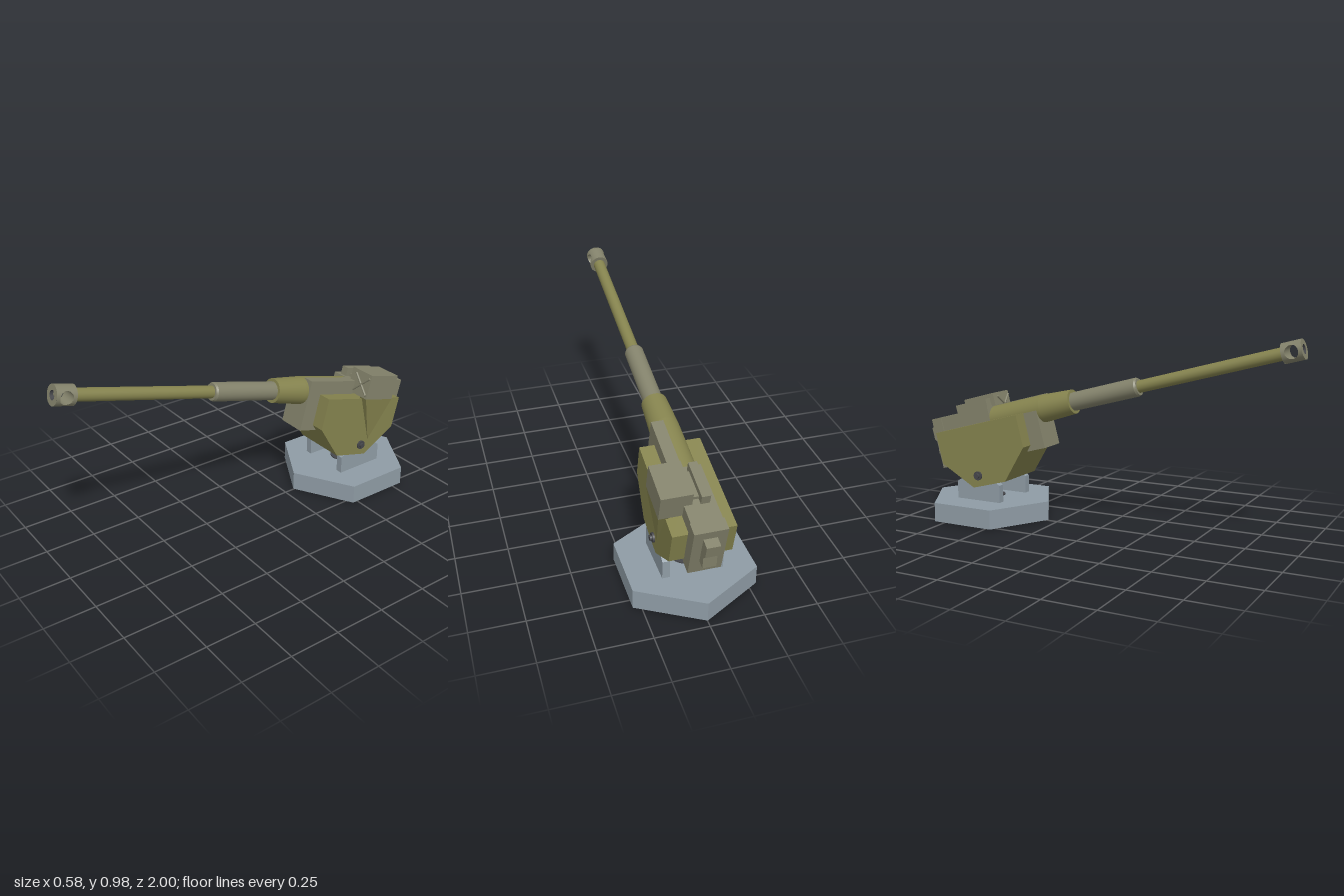
import * as THREE from 'three';
import { ParametricGeometry } from 'three/addons/geometries/ParametricGeometry.js';
import { ConvexGeometry } from 'three/addons/geometries/ConvexGeometry.js';

const mat = (color, flatShading = false) =>
  new THREE.MeshStandardMaterial({ color, flatShading, side: THREE.DoubleSide });
const olive = mat(0x85834e), khaki = mat(0x83826b), steel = mat(0x8f9ca5), dark = mat(0x45464a);
const oliveFlat = mat(0x85834e, true), steelFlat = mat(0x8f9ca5, true);

const TILT = 0.262, AXIS = 0.258; // gun elevation and bore height above the pivot
const PIVOT = [0, 0.23, -0.63];

function add(parent, name, geometry, material, x = 0, y = 0, z = 0) {
  const mesh = new THREE.Mesh(geometry, material);
  mesh.name = name;
  mesh.position.set(x, y, z);
  parent.add(mesh);
  return mesh;
}

// Box given by its limits on each axis
function box(parent, name, material, [x0, x1], [y0, y1], [z0, z1]) {
  return add(parent, name, new THREE.BoxGeometry(x1 - x0, y1 - y0, z1 - z0), material,
    (x0 + x1) / 2, (y0 + y1) / 2, (z0 + z1) / 2);
}

// Side profile of [z, y] points, given a width along x
function sidePlate(points, width) {
  const shape = new THREE.Shape(points.map(([z, y]) => new THREE.Vector2(z, y)));
  return new THREE.ExtrudeGeometry(shape, { depth: width, bevelEnabled: false })
    .translate(0, 0, -width / 2).rotateY(-Math.PI / 2);
}

// Turned part along z; each [radius, z] segment keeps its own normals for crisp edges
function turned(parent, name, material, profile) {
  const group = new THREE.Group();
  group.name = name;
  for (let i = 1; i < profile.length; i++) {
    const pts = [profile[i - 1], profile[i]].map(([r, z]) => new THREE.Vector2(r, z));
    add(group, name + 'Surface', new THREE.LatheGeometry(pts, 32).rotateX(Math.PI / 2), material, 0, AXIS, 0);
  }
  parent.add(group);
}

// Muzzle brake: a cylinder along z with a round port drilled through along x
function muzzleBrake(parent) {
  const group = new THREE.Group();
  group.name = 'muzzleBrake';
  group.position.set(0, AXIS, 1.7);
  const R = 0.047, H = 0.047, port = 0.031, bore = 0.022;
  const side = (y) => Math.sqrt(Math.max(0, R * R - y * y));
  for (const s of [-1, 1]) {
    add(group, 'brakeShell', new ParametricGeometry((a, t, p) => {
      const c = Math.cos(a * Math.PI * 2), d = Math.sin(a * Math.PI * 2);
      const k = 1 / Math.max(Math.abs(c), Math.abs(d));
      const y = d * (port + (R * k - port) * t), z = c * (port + (H * k - port) * t);
      p.set(s * side(y), y, z);
    }, 64, 12), khaki);
  }
  add(group, 'portWall', new ParametricGeometry((a, t, p) => {
    const y = port * Math.sin(a * Math.PI * 2);
    p.set((2 * t - 1) * side(y), y, port * Math.cos(a * Math.PI * 2));
  }, 48, 4), khaki);
  add(group, 'muzzleFace', new THREE.RingGeometry(bore, R, 40), khaki, 0, 0, H);
  add(group, 'brakeBack', new THREE.CircleGeometry(R, 40), khaki, 0, 0, -H);
  add(group, 'bore', new THREE.CylinderGeometry(bore, bore, 0.02, 24, 1, true).rotateX(Math.PI / 2),
    dark, 0, 0, H - 0.01);
  parent.add(group);
}

export function createModel() {
  const model = new THREE.Group();
  model.name = 'gunTurret';

  // Six-sided base with centre cap
  add(model, 'base', new THREE.CylinderGeometry(0.333, 0.333, 0.097, 6), steelFlat, 0, 0.0515, -0.635);
  add(model, 'centreCap', new THREE.CylinderGeometry(0.061, 0.061, 0.106, 24), dark, 0, 0.053, -0.635);

  // Support posts and pivot bolts, mirrored
  const post = [[-0.505, 0], [-0.505, 0.19], [-0.53, 0.205], [-0.735, 0.205], [-0.76, 0.19], [-0.76, 0]];
  for (const s of [-1, 1]) {
    add(model, 'supportPost', sidePlate(post, 0.035), steel, s * 0.1245, 0, 0);
    for (const [r, len] of [[0.023, 0.01], [0.013, 0.02]]) {
      add(model, 'pivotBolt', new THREE.CylinderGeometry(r, r, len, 16).rotateZ(Math.PI / 2), dark,
        s * (0.143 + len / 2), PIVOT[1], PIVOT[2]);
    }
  }

  // Everything on the pivot is built level, then elevated together
  const gun = new THREE.Group();
  gun.name = 'elevatingGun';
  gun.position.set(...PIVOT);
  gun.rotation.x = -TILT;
  model.add(gun);

  const housing = [[0.308, 0.26], [0.306, 0.094], [0.151, -0.056], [-0.046, -0.056], [-0.202, 0.096], [-0.2, 0.26]];
  add(gun, 'housing', sidePlate(housing, 0.286), oliveFlat);

  // Cradle: low on the right beside the mantle, full height at the rear and left
  box(gun, 'cradle', khaki, [-0.073, 0.073], [0.066, 0.258], [-0.2, 0.385]);
  box(gun, 'cradleCheek', khaki, [0.015, 0.073], [0.25, 0.33], [0.09, 0.385]);
  box(gun, 'receiver', khaki, [-0.07, 0.07], [0.2, 0.33], [-0.21, 0.1]);
  box(gun, 'breechBlock', khaki, [-0.075, 0.075], [0.07, 0.334], [-0.26, -0.2]);
  const hatch = [[-0.255, 0.292], [-0.305, 0.29], [-0.306, 0.228], [-0.29, 0.205], [-0.3, 0.147], [-0.255, 0.143]];
  add(gun, 'breechHandle', sidePlate(hatch, 0.062), khaki);

  // Mantle, sleeve and barrel
  turned(gun, 'mantle', olive, [[0, 0.09], [0.07, 0.09], [0.07, 0.4], [0.061, 0.568], [0, 0.568]]);
  turned(gun, 'sleeve', khaki, [[0.046, 0.55], [0.046, 0.925], [0.041, 0.935], [0, 0.935]]);
  turned(gun, 'barrel', olive, [[0.03, 0.92], [0.03, 1.66]]);
  muzzleBrake(gun);

  // Sight rail and ammunition box with crossed braces
  box(gun, 'sightRail', khaki, [-0.042, -0.002], [0.32, 0.375], [-0.11, 0.083]);
  box(gun, 'boxMount', khaki, [-0.01, 0.045], [0.32, 0.345], [-0.08, 0.06]);
  box(gun, 'ammunitionBox', khaki, [0.034, 0.176], [0.267, 0.396], [-0.105, 0.083]);
  for (const s of [-1, 1]) {
    const brace = add(gun, 'boxBrace', new THREE.CylinderGeometry(0.006, 0.006, 0.135, 8), khaki, 0.118, 0.33, 0.086);
    brace.rotation.z = s * 0.82;
  }

  // Feed chute tapering down the side of the housing
  const chute = [[0.13, 0.267, -0.105], [0.13, 0.267, 0.083], [0.176, 0.267, -0.105], [0.176, 0.267, 0.083],
    [0.144, 0.03, -0.043], [0.13, 0.03, -0.043]];
  add(gun, 'feedChute', new ConvexGeometry(chute.map((p) => new THREE.Vector3(...p))), oliveFlat);

  return model;
}
